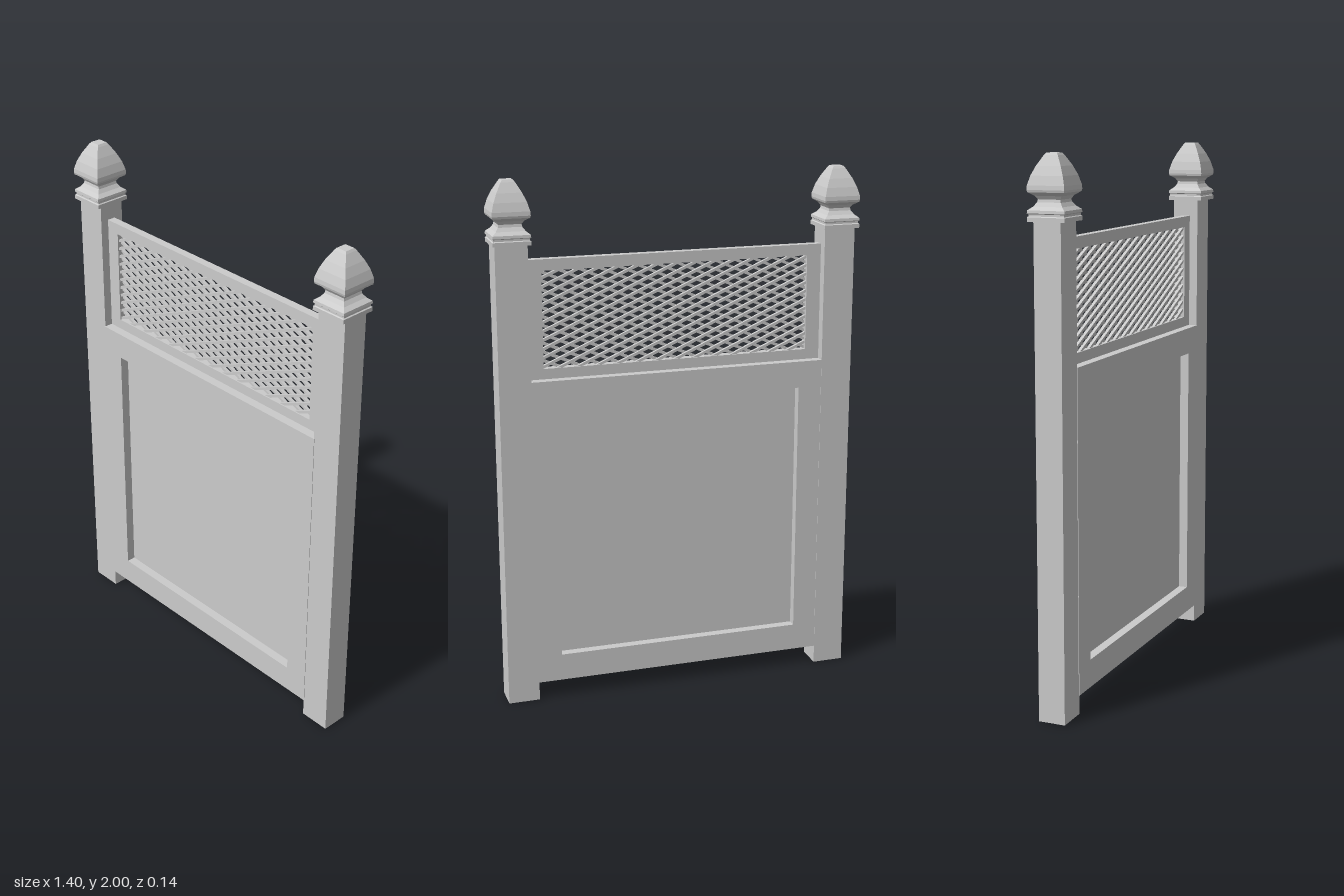
import * as THREE from 'three';

const material = new THREE.MeshStandardMaterial({ color: 0xcccccc, flatShading: true, side: THREE.DoubleSide });

function add(parent, name, geometry, x = 0, y = 0, z = 0) {
  const mesh = new THREE.Mesh(geometry, material);
  mesh.name = name;
  mesh.position.set(x, y, z);
  parent.add(mesh);
  return mesh;
}

// Rectangular frame with a rectangular opening, extruded from z0 to z1
function frame(outer, inner, z0, z1) {
  const corners = ([x, y0, y1]) => [[-x, y0], [x, y0], [x, y1], [-x, y1]].map(p => new THREE.Vector2(...p));
  const shape = new THREE.Shape(corners(outer));
  shape.holes.push(new THREE.Path(corners(inner).reverse()));
  return new THREE.ExtrudeGeometry(shape, { depth: z1 - z0, bevelEnabled: false }).translate(0, 0, z0);
}

// Square finial: profile of half-widths and heights turned with four sides
function finialGeometry() {
  const profile = [
    [0, 1.772], [0.07, 1.772], [0.07, 1.787], [0.066, 1.79], [0.066, 1.797],
    [0.07, 1.8], [0.069, 1.81], [0.054, 1.822], [0.044, 1.836], [0.042, 1.846],
    [0.05, 1.858], [0.068, 1.87], [0.07, 1.878], [0.069, 1.893],
    [0.06, 1.925], [0.046, 1.957], [0.026, 1.992], [0.02, 2], [0, 2],
  ].map(([r, y]) => new THREE.Vector2(r * Math.SQRT2, y));
  return new THREE.LatheGeometry(profile, 4).rotateY(Math.PI / 4);
}

export function createModel() {
  const model = new THREE.Group();
  model.name = 'gatePanel';

  // Posts with finials
  for (const [side, sx] of [['left', 1], ['right', -1]]) {
    const post = new THREE.Group();
    post.name = side + 'Post';
    post.position.x = sx * 0.629;
    add(post, 'postShaft', new THREE.BoxGeometry(0.12, 1.78, 0.102), 0, 0.89, 0);
    add(post, 'finial', finialGeometry());
    model.add(post);
  }

  // Lower panel: thick surround with a thin sunken core
  add(model, 'panelSurround', frame([0.572, 0.07, 1.265], [0.477, 0.175, 1.162], -0.049, 0.053));
  add(model, 'panelCore', new THREE.BoxGeometry(0.98, 1.01, 0.032), 0, 0.668, 0.002);

  // Upper lattice frame
  add(model, 'latticeFrame', frame([0.572, 1.262, 1.71], [0.514, 1.304, 1.668], -0.014, 0.018));

  // Crossing slats, clipped to the opening and tucked into the frame
  const lattice = new THREE.Group();
  lattice.name = 'lattice';
  const cellW = 0.075, cellH = 0.033, slope = cellH / cellW;
  const halfW = 0.52, low = 1.298, high = 1.674, middle = (low + high) / 2;
  for (const dir of [1, -1]) {
    for (let k = -13; k <= 13; k++) {
      const c = middle + (k + 0.5) * cellH;
      const x0 = Math.max(-halfW, (low - c) / slope);
      const x1 = Math.min(halfW, (high - c) / slope);
      if (x1 - x0 < 0.02) continue;
      const mid = (x0 + x1) / 2;
      const length = (x1 - x0) * Math.hypot(1, slope);
      const slat = add(lattice, 'slat', new THREE.BoxGeometry(length, 0.01, 0.012),
        dir * mid, c + slope * mid, 0.002 + dir * 0.005);
      slat.rotation.z = dir * Math.atan(slope);
    }
  }
  model.add(lattice);

  return model;
}
